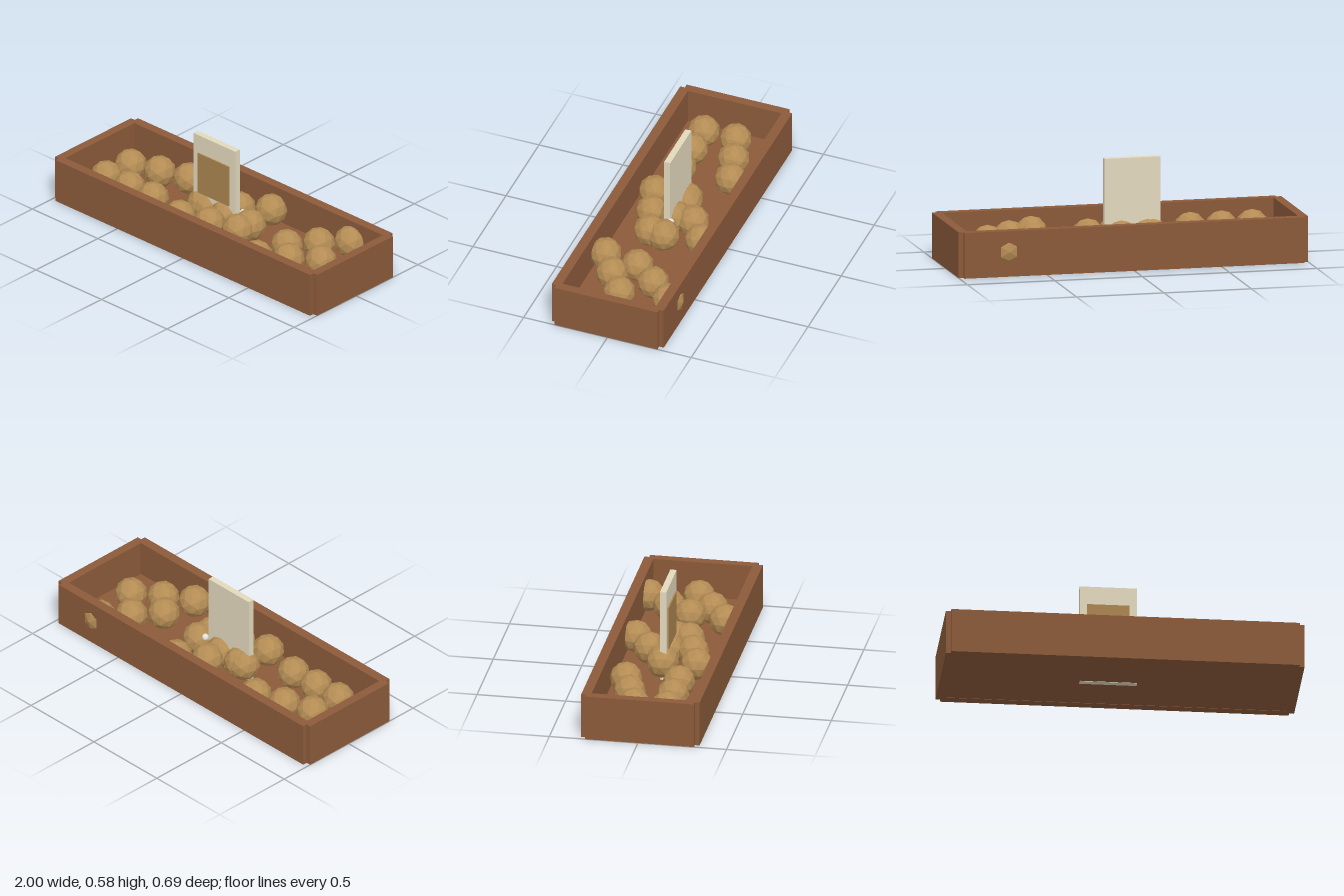
import * as THREE from 'three';

const paint = (name, color, flatShading = false) => {
  const m = new THREE.MeshStandardMaterial({ color, flatShading });
  m.name = name;
  return m;
};

export function createModel() {
  const wood = paint('crate wood', 0x8b5a3a);
  const cream = paint('sign cream', 0xe2d8bc);
  const tan = paint('sign panel tan', 0xab8450);
  const skin = paint('potato skin', 0xb48c54, true);
  const white = paint('knob white', 0xe4e2dc);

  const model = new THREE.Group();
  model.name = 'produceCrate';

  // Box given by its min and max corners
  const box = (name, material, [x0, y0, z0], [x1, y1, z1], parent = model) => {
    const mesh = new THREE.Mesh(new THREE.BoxGeometry(x1 - x0, y1 - y0, z1 - z0), material);
    mesh.position.set((x0 + x1) / 2, (y0 + y1) / 2, (z0 + z1) / 2);
    mesh.name = name;
    parent.add(mesh);
  };

  // Crate: floor, long side boards and shorter end boards set into notched corners
  const crate = new THREE.Group();
  crate.name = 'crate';
  model.add(crate);
  const h = 0.258, mid = 0.009;
  box('floor', wood, [-0.97, 0.002, mid - 0.3], [0.97, 0.05, mid + 0.3], crate);
  for (const s of [-1, 1]) {
    const side = s > 0 ? 'left' : 'right';
    const zs = [mid + s * 0.279, mid + s * 0.334].sort((a, b) => a - b);
    box(s > 0 ? 'frontBoard' : 'backBoard', wood, [-0.972, 0, zs[0]], [0.972, h, zs[1]], crate);
    const xs = [s * 0.948, s].sort((a, b) => a - b);
    box(side + 'EndBoard', wood, [xs[0], 0, mid - 0.307], [xs[1], h, mid + 0.307], crate);
  }

  // Potatoes in three clusters, x and z of each
  const potatoes = new THREE.Group();
  potatoes.name = 'potatoes';
  model.add(potatoes);
  const potatoGeometry = new THREE.IcosahedronGeometry(0.091, 1);
  const spots = [
    [-0.78, -0.064], [-0.61, -0.118], [-0.435, -0.17], [-0.785, 0.128], [-0.61, 0.128], [-0.43, 0.128],
    [-0.18, -0.012], [-0.15, -0.016], [0, -0.118], [0.145, -0.22], [0, -0.01], [0.18, -0.012],
    [-0.175, 0.18], [0, 0.128], [0.168, 0.075],
    [0.49, 0.02], [0.605, -0.118], [0.718, -0.252], [0.455, 0.225], [0.605, 0.128], [0.755, 0.025],
  ];
  for (const [x, z] of spots) {
    const potato = new THREE.Mesh(potatoGeometry, skin);
    potato.position.set(x, 0.14, z);
    potato.name = 'potato';
    potatoes.add(potato);
  }

  // Upright sign standing through the crate floor, with a thin front panel
  box('signBoard', cream, [-0.225, 0, -0.018], [0.095, 0.58, 0.018]);
  box('signPanel', tan, [-0.185, 0.222, 0.018], [0.052, 0.47, 0.026]);

  // Small knob beside the sign
  const knob = new THREE.Mesh(new THREE.SphereGeometry(0.02, 16, 12), white);
  knob.position.set(0.112, 0.185, -0.027);
  knob.name = 'knob';
  model.add(knob);

  return model;
}
